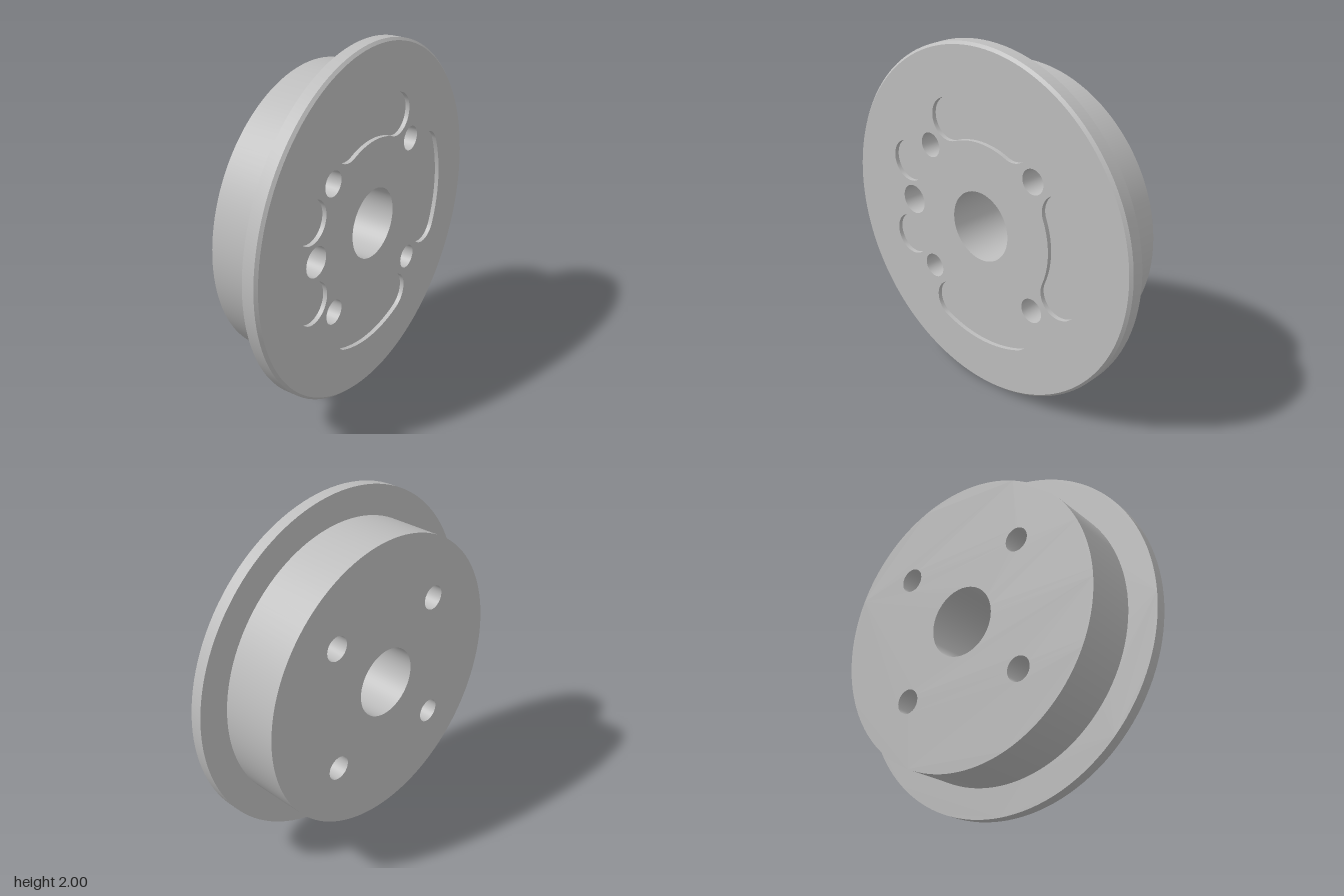
import * as THREE from 'three';

const metal = new THREE.MeshStandardMaterial({ color: 0xbebebe });
metal.name = 'grey metal';

// Positions along the wheel axis
const BACK = -0.207, STEP = 0.123, RIM = 0.192, FRONT = 0.207;
const POCKET_FLOOR = FRONT - 0.025, PIN_FLOOR = FRONT - 0.2;

// Points of an arc, end point left out so that arcs chain into closed contours
function arc(cx, cy, r, from, to, n) {
  return Array.from({ length: n }, (_, i) => {
    const a = from + (to - from) * i / n;
    return new THREE.Vector2(cx + r * Math.cos(a), cy + r * Math.sin(a));
  });
}
const circle = (r, cx = 0, cy = 0, n = 48) => arc(cx, cy, r, 0, Math.PI * 2, n);

// Kidney-shaped slot following a ring of radius 0.6
function kidney(mid) {
  const half = 0.392, r = 0.6, w = 0.12, a = mid - half, b = mid + half, P = Math.PI;
  return [
    ...arc(0, 0, r + w, a, b, 20),
    ...arc(r * Math.cos(b), r * Math.sin(b), w, b, b + P, 20),
    ...arc(0, 0, r - w, b, a, 20),
    ...arc(r * Math.cos(a), r * Math.sin(a), w, a + P, a + 2 * P, 20),
  ];
}

// Smooth band between two contours; it faces outward if z1 > z0, inward otherwise
function wall(c0, z0, z1, c1 = c0) {
  const n = c0.length, pos = [], idx = [];
  for (let i = 0; i < n; i++) {
    const j = (i + 1) % n;
    pos.push(c0[i].x, c0[i].y, z0, c1[i].x, c1[i].y, z1);
    idx.push(2 * i, 2 * j, 2 * j + 1, 2 * i, 2 * j + 1, 2 * i + 1);
  }
  const g = new THREE.BufferGeometry();
  g.setAttribute('position', new THREE.Float32BufferAttribute(pos, 3));
  g.setIndex(idx);
  g.computeVertexNormals();
  return g;
}

// Flat face with holes, optionally turned to the back
function face(contour, z, holes = [], toBack = false) {
  const shape = new THREE.Shape(contour);
  shape.holes = holes.map((h) => new THREE.Path(h));
  const g = new THREE.ShapeGeometry(shape);
  g.translate(0, 0, z);
  if (toBack) {
    g.index.array.reverse();
    g.computeVertexNormals();
  }
  return g;
}

export function createModel() {
  const model = new THREE.Group();
  model.name = 'flangedWheel';
  // Local z becomes the wheel axis (+x)
  const wheel = new THREE.Group();
  wheel.name = 'wheel';
  wheel.rotation.y = Math.PI / 2;
  wheel.position.y = 1;
  model.add(wheel);
  const add = (name, ...geometries) => {
    const part = new THREE.Group();
    part.name = name;
    for (const g of geometries) part.add(new THREE.Mesh(g, metal));
    wheel.add(part);
  };

  // Openings
  const bore = circle(0.2, 0, 0, 64);
  const bolts = [];
  for (const x of [-1, 1]) for (const y of [-1, 1]) bolts.push(circle(0.07, x * 0.372, y * 0.372, 32));
  const through = [bore, ...bolts];
  const pockets = [0, Math.PI / 2, Math.PI * 1.5].map(kidney);
  for (const y of [-1, 1]) pockets.push(circle(0.12, -0.554, y * 0.23));
  const pin = circle(0.085, -0.525, 0, 40);

  // Flange with chamfered front edge
  const rim = circle(1, 0, 0, 128), edge = circle(0.985, 0, 0, 128), hub = circle(0.832, 0, 0, 128);
  add('flange',
    wall(rim, STEP, RIM),
    wall(rim, RIM, FRONT, edge),
    face(rim, STEP, [hub], true),
    face(edge, FRONT, [...through, ...pockets, pin]));

  // Hub drum
  add('hub', wall(hub, BACK, STEP), face(hub, BACK, through, true));

  // Through holes
  add('centreBore', wall(bore, FRONT, BACK));
  for (const b of bolts) add('boltHole', wall(b, FRONT, BACK));

  // Blind recesses in the front face
  for (const p of pockets) add('pocket', wall(p, FRONT, POCKET_FLOOR), face(p, POCKET_FLOOR));
  add('pinHole', wall(pin, FRONT, PIN_FLOOR), face(pin, PIN_FLOOR));

  return model;
}
